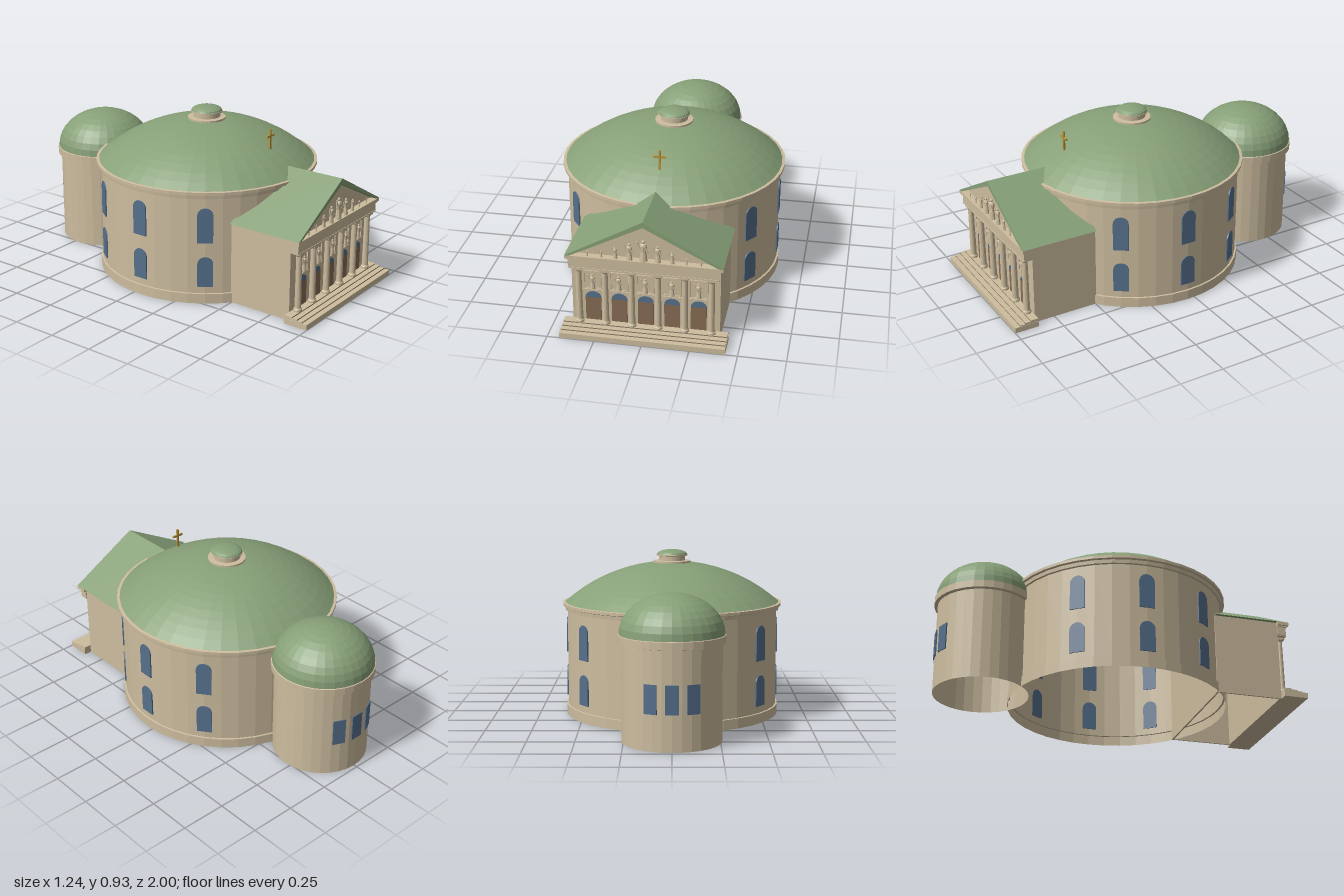
import * as THREE from 'three';

const mat = (name, color, side = THREE.FrontSide) => {
  const m = new THREE.MeshStandardMaterial({ color, side });
  m.name = name;
  return m;
};

export function createModel() {
  const stone = mat('stone', 0xcdbd9f, THREE.DoubleSide);
  const copper = mat('green copper', 0x87a078, THREE.DoubleSide);
  const glass = mat('window blue', 0x56708c);
  const wood = mat('door brown', 0x876c54);
  const gold = mat('gold', 0xb8963f);
  const riser = mat('step riser', 0x8e7f6b);

  const model = new THREE.Group();
  model.name = 'domedChurch';

  const add = (parent, name, geo, material, x = 0, y = 0, z = 0) => {
    const m = new THREE.Mesh(geo, material);
    m.name = name;
    m.position.set(x, y, z);
    parent.add(m);
    return m;
  };
  const box = (parent, name, w, h, d, material, x, y, z) =>
    add(parent, name, new THREE.BoxGeometry(w, h, d), material, x, y, z);
  // faceted lathe from [radius, height] pairs
  const turned = (pts, seg) => {
    const g = new THREE.LatheGeometry(pts.map(p => new THREE.Vector2(p[0], p[1])), seg).toNonIndexed();
    g.computeVertexNormals();
    return g;
  };
  // dome profile as part of an ellipse, running up from angle a0 to a1
  const arc = (rx, ry, cy, a0, a1, n) => Array.from({ length: n + 1 }, (_, i) => {
    const a = a0 + (a1 - a0) * i / n;
    return [Math.max(0, rx * Math.cos(a)), cy + ry * Math.sin(a)];
  });
  const plate = (pts, depth) => new THREE.ExtrudeGeometry(
    new THREE.Shape(pts.map(p => new THREE.Vector2(p[0], p[1]))), { depth, bevelEnabled: false });
  // arched plate, base at y = 0
  const arched = (w, h, rise, depth) => {
    const s = new THREE.Shape();
    s.moveTo(-w / 2, 0);
    s.lineTo(w / 2, 0);
    s.lineTo(w / 2, h - rise);
    s.absellipse(0, h - rise, w / 2, rise, 0, Math.PI, false);
    return new THREE.ExtrudeGeometry(s, { depth, bevelEnabled: false, curveSegments: 10 });
  };

  // ---- Rotunda ----
  const rotunda = new THREE.Group();
  rotunda.name = 'rotunda';
  rotunda.position.z = 0.042;
  model.add(rotunda);
  add(rotunda, 'rotundaWall', turned([[0.605, 0], [0.605, 0.055], [0.595, 0.056], [0.595, 0.592],
    [0.606, 0.594], [0.608, 0.614], [0.62, 0.618], [0.62, 0.634], [0.6, 0.636]], 40), stone);
  const rim = Math.acos(0.606 / 0.926);
  add(rotunda, 'mainDome', turned(arc(0.926, 0.926, -0.066, rim, Math.acos(0.09 / 0.926), 10), 40), copper);
  add(rotunda, 'lanternDrum', turned([[0.105, 0.848], [0.105, 0.864], [0.075, 0.866], [0.075, 0.89],
    [0.088, 0.893], [0.088, 0.9], [0.08, 0.901]], 32), stone);
  add(rotunda, 'lanternCap', turned(arc(0.086, 0.028, 0.9, 0, Math.PI / 2, 5), 32), copper);

  // two tiers of arched windows on both sides
  for (const side of [-1, 1]) for (const k of [-1, 0, 1]) {
    const holder = new THREE.Group();
    holder.name = 'windowBay';
    holder.rotation.y = side * (Math.PI / 2 + k * Math.PI / 5);
    rotunda.add(holder);
    add(holder, 'upperWindow', arched(0.084, 0.195, 0.042, 0.009), glass, 0, 0.345, 0.59);
    add(holder, 'lowerWindow', arched(0.084, 0.17, 0.042, 0.009), glass, 0, 0.095, 0.59);
  }

  // ---- Apse ----
  const apse = new THREE.Group();
  apse.name = 'apse';
  apse.position.z = -0.72;
  model.add(apse);
  add(apse, 'apseWall', turned([[0.26, 0], [0.26, 0.512], [0.278, 0.516], [0.278, 0.556], [0.268, 0.56]], 32), stone);
  add(apse, 'apseDome', turned(arc(0.273, 0.212, 0.558, 0, Math.PI / 2, 9), 32), copper);
  for (const k of [-1, 0, 1]) {
    const holder = new THREE.Group();
    holder.name = 'apseWindowBay';
    holder.rotation.y = Math.PI + k * 0.43;
    apse.add(holder);
    box(holder, 'apseWindow', 0.07, 0.15, 0.009, glass, 0, 0.265, 0.259);
  }

  // ---- Portico ----
  const portico = new THREE.Group();
  portico.name = 'portico';
  model.add(portico);
  for (const s of [-1, 1]) box(portico, 'sideWall', 0.01, 0.456, 0.37, stone, s * 0.385, 0.228, 0.68);
  box(portico, 'frontWall', 0.78, 0.456, 0.01, stone, 0, 0.228, 0.86);
  box(portico, 'backWall', 0.78, 0.456, 0.01, stone, 0, 0.228, 0.5);
  box(portico, 'frieze', 0.79, 0.052, 0.05, stone, 0, 0.408, 0.888);
  box(portico, 'architraveLip', 0.78, 0.008, 0.056, stone, 0, 0.381, 0.888);
  box(portico, 'cornice', 0.82, 0.018, 0.065, stone, 0, 0.446, 0.893);
  box(portico, 'corniceMoulding', 0.8, 0.008, 0.058, stone, 0, 0.434, 0.891);
  add(portico, 'tympanum', plate([[-0.388, 0.455], [0.388, 0.455], [0, 0.653]], 0.022), stone, 0, 0, 0.862);
  add(portico, 'gableRoof', plate([[-0.41, 0.455], [-0.385, 0.455], [0, 0.652], [0.385, 0.455],
    [0.41, 0.455], [0, 0.683]], 0.427), copper, 0, 0, 0.498);

  // steps
  const stepMats = [stone, stone, stone, stone, riser, stone];
  box(portico, 'bottomStep', 0.87, 0.03, 0.135, stone, 0, 0.015, 0.9325);
  for (let i = 0; i < 3; i++) {
    const d = 0.105 - i * 0.03;
    box(portico, 'upperStep', 0.866, 0.006, d, stepMats, 0, 0.033 + i * 0.006, 0.865 + d / 2);
  }

  // columns
  const column = turned([[0.023, 0.046], [0.023, 0.058], [0.019, 0.064], [0.0175, 0.07], [0.0155, 0.355],
    [0.021, 0.364], [0.021, 0.367]], 16);
  for (let i = 0; i < 6; i++) {
    const x = (i - 2.5) * 0.139;
    add(portico, 'column', column, stone, x, 0, 0.89);
    box(portico, 'capital', 0.047, 0.014, 0.046, stone, x, 0.373, 0.889);
  }

  // robed figure of unit height
  const robe = turned([[0.17, 0], [0.16, 0.1], [0.12, 0.45], [0.16, 0.72], [0.13, 0.8], [0.05, 0.84]], 8);
  const head = new THREE.SphereGeometry(0.085, 8, 6);
  const arm = new THREE.CylinderGeometry(0.035, 0.05, 0.32, 6);
  const figure = (name, x, y, z, h) => {
    const f = new THREE.Group();
    f.name = name;
    add(f, 'robe', robe, stone);
    add(f, 'head', head, stone, 0, 0.91, 0.01);
    add(f, 'raisedArm', arm, stone, -0.22, 0.78, 0.06).rotation.z = 0.35;
    add(f, 'foldedArm', arm, stone, 0.13, 0.58, 0.09).rotation.z = 0.4;
    f.position.set(x, y, z);
    f.scale.set(h, h, h * 0.8);
    portico.add(f);
  };

  // five bays: door, fanlight and framed statue
  for (let i = -2; i <= 2; i++) {
    const x = i * 0.139;
    box(portico, 'door', 0.083, 0.135, 0.008, wood, x, 0.1165, 0.866);
    add(portico, 'fanlight', arched(0.083, 0.035, 0.0349, 0.008), glass, x, 0.184, 0.862);
    box(portico, 'sill', 0.1, 0.006, 0.012, stone, x, 0.232, 0.869);
    for (const s of [-1, 1]) {
      box(portico, 'frameUpright', 0.005, 0.106, 0.008, stone, x + s * 0.045, 0.291, 0.868);
      box(portico, 'frameRail', 0.095, 0.005, 0.008, stone, x, 0.291 + s * 0.051, 0.868);
    }
    figure('nicheStatue', x, 0.245, 0.878, 0.086);
  }

  // pediment statues, shrinking towards the corners
  const heights = [0.12, 0.094, 0.068, 0.038, 0.03];
  for (let i = -4; i <= 4; i++) figure('pedimentStatue', i * 0.0733, 0.455, 0.908, heights[Math.abs(i)]);

  // ---- Cross ----
  const cross = new THREE.Group();
  cross.name = 'cross';
  cross.position.z = 0.467;
  model.add(cross);
  box(cross, 'crossPost', 0.012, 0.12, 0.01, gold, 0, 0.806, 0);
  box(cross, 'crossBar', 0.066, 0.011, 0.01, gold, 0, 0.828, 0);

  return model;
}
